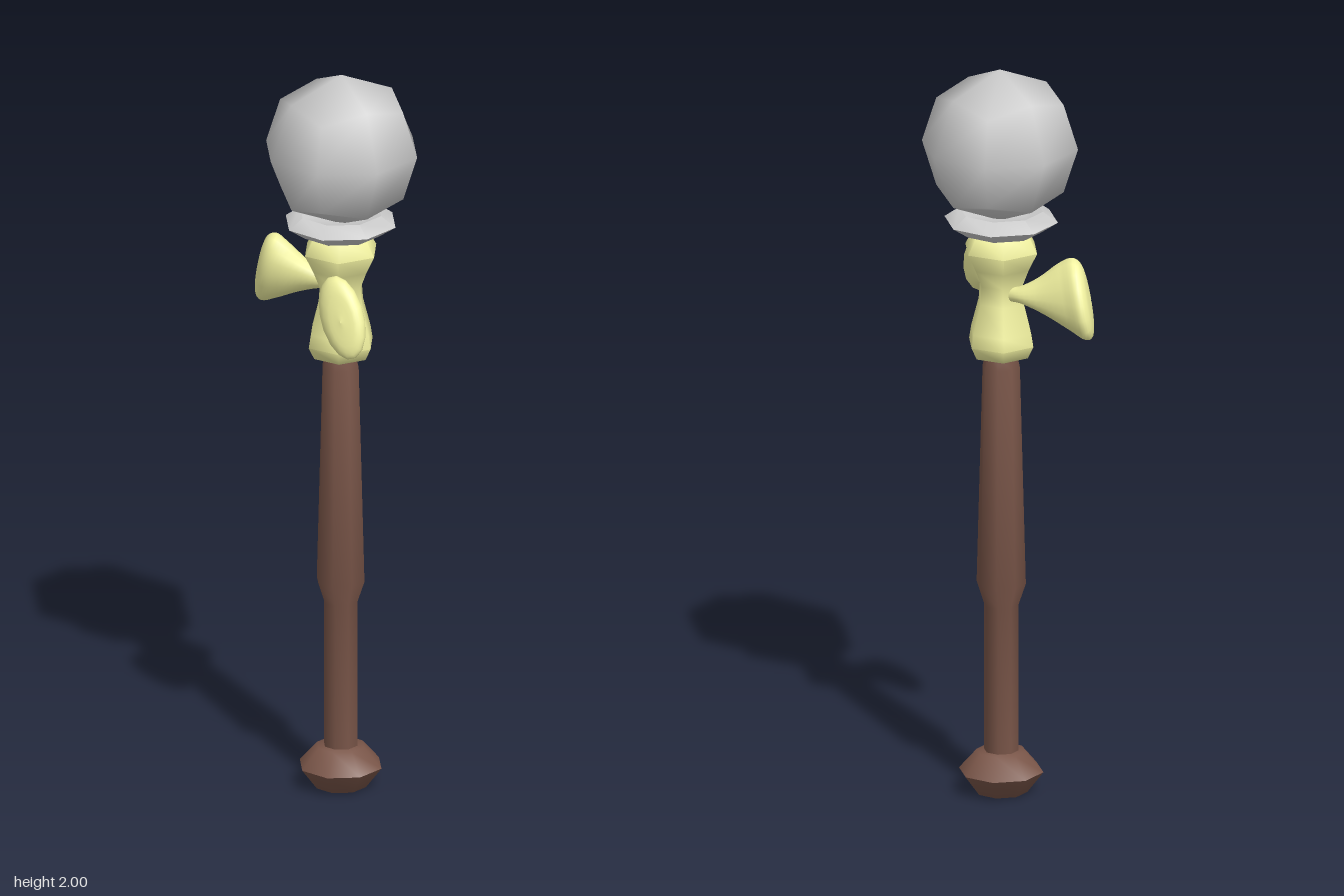
import * as THREE from 'three';
import { toCreasedNormals, mergeVertices } from 'three/addons/utils/BufferGeometryUtils.js';
import { ParametricGeometry } from 'three/addons/geometries/ParametricGeometry.js';

const grey = new THREE.MeshStandardMaterial({ color: 0xcccccc });
const wood = new THREE.MeshStandardMaterial({ color: 0x795548 });
const yellow = new THREE.MeshStandardMaterial({ color: 0xf4f4a2 });

function part(name, geometry, material) {
  const mesh = new THREE.Mesh(geometry, material);
  mesh.name = name;
  return mesh;
}

// Turned part from [radius, y] pairs, listed bottom to top
function turned(name, profile, sides, material, turn = 0) {
  const lathe = new THREE.LatheGeometry(profile.map(([r, y]) => new THREE.Vector2(r, y)), sides);
  lathe.rotateY(turn);
  return part(name, toCreasedNormals(lathe, 1.15), material);
}

// Orb: a once-divided cube pushed out to a sphere
function orbGeometry(radius) {
  const box = new THREE.BoxGeometry(1, 1, 1, 2, 2, 2);
  box.deleteAttribute('normal');
  box.deleteAttribute('uv');
  const geometry = mergeVertices(box);
  const pos = geometry.attributes.position;
  const v = new THREE.Vector3();
  for (let i = 0; i < pos.count; i++) {
    v.fromBufferAttribute(pos, i).setLength(radius);
    pos.setXYZ(i, v.x, v.y, v.z);
  }
  geometry.computeVertexNormals();
  return geometry;
}

// Wing: thin neck flaring into a tilted oval paddle with a domed end
function wingGeometry(side) {
  // x, y, z of the centre, then half width and half height
  const sections = [
    [0.0, 1.39, 0.03, 0.025, 0.02],
    [-0.01, 1.395, 0.075, 0.025, 0.022],
    [-0.045, 1.40, 0.125, 0.038, 0.05],
    [-0.083, 1.405, 0.175, 0.058, 0.09],
    [-0.104, 1.405, 0.215, 0.066, 0.11],
    [-0.117, 1.405, 0.236, 0.045, 0.085],
    [-0.122, 1.405, 0.242, 0.002, 0.003],
  ];
  const centres = new THREE.CatmullRomCurve3(sections.map(([x, y, z]) => new THREE.Vector3(x, y, z)));
  const sizes = new THREE.CatmullRomCurve3(sections.map((s) => new THREE.Vector3(s[3], s[4], 0)));
  centres.curveType = sizes.curveType = 'catmullrom';
  const across = new THREE.Vector3(0.62, 0, 0.78);
  const upward = new THREE.Vector3(0, 0.95, -0.31);
  return new ParametricGeometry((u, v, target) => {
    const angle = side * u * Math.PI * 2;
    const size = sizes.getPoint(v);
    target.copy(centres.getPoint(v))
      .addScaledVector(across, Math.max(size.x, 0.001) * Math.cos(angle))
      .addScaledVector(upward, Math.max(size.y, 0.001) * Math.sin(angle));
    target.z *= side;
  }, 16, 24);
}

export function createModel() {
  const model = new THREE.Group();
  model.name = 'staff';

  // Wooden handle
  model.add(turned('pommel', [
    [0, 0], [0.07, 0.003], [0.113, 0.06], [0.065, 0.115], [0, 0.12],
  ], 8, wood));
  model.add(turned('shaft', [
    [0.046, 0.1], [0.046, 0.52], [0.066, 0.58], [0.05, 1.18], [0.042, 1.215], [0, 1.22],
  ], 8, wood));

  // Six-sided waisted body below the orb
  model.add(turned('body', [
    [0, 1.208], [0.078, 1.212], [0.094, 1.245], [0.088, 1.28], [0.066, 1.36],
    [0.062, 1.41], [0.08, 1.455], [0.105, 1.505], [0.077, 1.555], [0, 1.557],
  ], 6, yellow, Math.PI / 6));

  // Pair of wings
  model.add(part('frontWing', wingGeometry(1), yellow));
  model.add(part('backWing', wingGeometry(-1), yellow));

  // Collar and orb
  model.add(turned('collar', [
    [0, 1.552], [0.105, 1.555], [0.152, 1.586], [0.112, 1.614], [0.07, 1.59], [0, 1.59],
  ], 8, grey));
  const orb = part('orb', orbGeometry(0.209), grey);
  orb.position.set(0, 1.791, 0.006);
  model.add(orb);

  return model;
}
